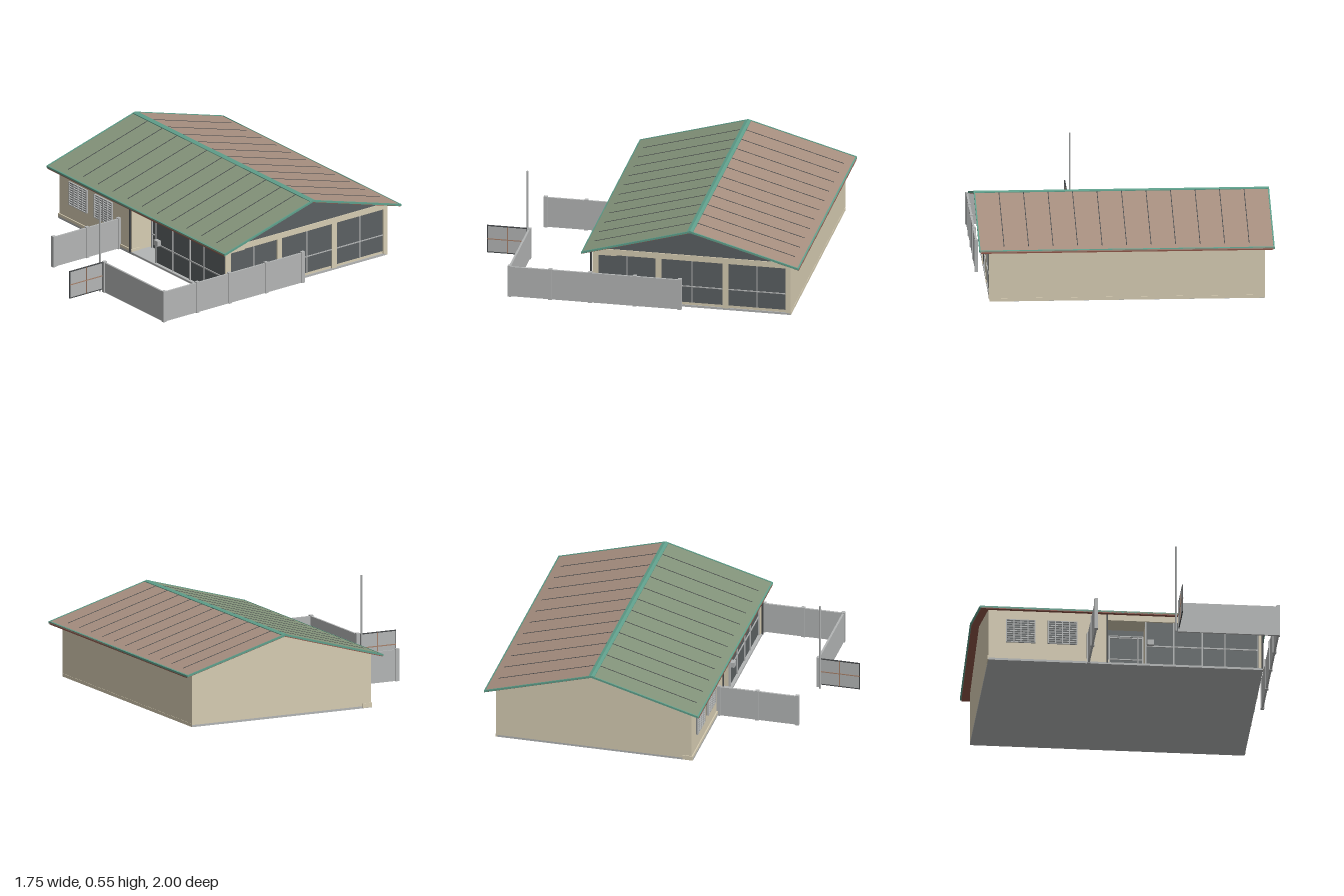
import * as THREE from 'three';

const mat = (name, color, side = THREE.FrontSide) => {
  const m = new THREE.MeshStandardMaterial({ color, side });
  m.name = name;
  return m;
};

export function createModel() {
  const root = new THREE.Group();
  root.name = 'house';
  const wall = mat('cream wall', 0xd6ccb2);
  const glass = mat('dark glass', 0x5b6062);
  const grey = mat('light grey', 0xb3b5b5);
  const green = mat('green roof', 0x83937a);
  const brown = mat('brown roof', 0xa78f80);
  const teal = mat('teal trim', 0x5f9f8b);
  const red = mat('red underside', 0x8f5548);
  const dark = mat('dark metal', 0x45484a);
  const tan = mat('gate bar', 0xa5806a);

  const add = (name, geo, m, parent = root) => {
    const mesh = new THREE.Mesh(geo, m);
    mesh.name = name;
    parent.add(mesh);
    return mesh;
  };
  const group = (name) => {
    const g = new THREE.Group();
    g.name = name;
    root.add(g);
    return g;
  };
  // Box given by its limits on each axis
  const box = (name, x0, x1, y0, y1, z0, z1, m, parent) => {
    const geo = new THREE.BoxGeometry(x1 - x0, y1 - y0, z1 - z0);
    geo.translate((x0 + x1) / 2, (y0 + y1) / 2, (z0 + z1) / 2);
    return add(name, geo, m, parent);
  };
  // Prism running along x from a profile of [z, y] points
  const prism = (name, pts, x0, x1, m, parent) => {
    const shape = new THREE.Shape(pts.map(([z, y]) => new THREE.Vector2(-z, y)));
    const geo = new THREE.ExtrudeGeometry(shape, { depth: x1 - x0, bevelEnabled: false });
    geo.rotateY(Math.PI / 2).translate(x0, 0, 0);
    return add(name, geo, m, parent);
  };

  // Roof heights
  const ridgeZ = -0.345, ridgeY = 0.51, frontZ = 0.31, backZ = -1, eaveY = 0.325;
  const slope = (ridgeY - eaveY) / (frontZ - ridgeZ);
  const roofY = (z) => ridgeY - slope * Math.abs(z - ridgeZ);
  const band = (za, zb, top, bottom) => [
    [za, roofY(za) + top], [zb, roofY(zb) + top], [zb, roofY(zb) + bottom], [za, roofY(za) + bottom],
  ];

  // Walls, with a recessed entrance in the middle
  const wallFront = 0.25, wallBack = -0.94, under = -0.014;
  const profile = (zf) => [
    [zf, 0.012], [zf, roofY(zf) + under], [ridgeZ, ridgeY + under],
    [wallBack, roofY(wallBack) + under], [wallBack, 0.012],
  ];
  const body = group('walls');
  box('floorSlab', -0.82, 0.81, 0, 0.013, -0.94, 0.262, grey, body);
  prism('leftWing', profile(wallFront + 0.005), -0.82, -0.11, wall, body);
  prism('entranceBack', profile(0.11), -0.11, 0.115, wall, body);
  prism('glazedHall', profile(wallFront - 0.01), 0.115, 0.805, wall, body);
  box('backWallFoot', -0.82, 0.81, 0.001, 0.02, -0.942, -0.93, wall, body);
  box('plinth', -0.825, -0.105, 0.003, 0.03, 0.2, 0.262, wall, body);
  box('frontBeam', -0.11, 0.81, 0.29, 0.33, 0.11, 0.255, wall, body);
  box('cornerPost', 0.785, 0.81, 0.012, 0.33, 0.225, 0.255, wall, body);

  // Glazed front of the hall
  const front = group('frontGlazing');
  box('frontGlass', 0.115, 0.785, 0.015, 0.29, 0.238, 0.243, glass, front);
  for (const x of [0.115, 0.28, 0.45, 0.585, 0.782])
    box('mullion', x - 0.004, x + 0.004, 0.013, 0.29, 0.238, 0.25, grey, front);
  box('transom', 0.115, 0.785, 0.131, 0.139, 0.238, 0.248, grey, front);
  box('letterBox', 0.122, 0.162, 0.136, 0.168, 0.24, 0.27, grey, front);

  // Entrance door in the recess
  const door = group('entranceDoor');
  box('doorGlass', -0.105, 0.113, 0.013, 0.29, 0.11, 0.116, glass, door);
  for (const x of [-0.09, 0.08, 0.109])
    box('doorUpright', x - 0.004, x + 0.004, 0.013, 0.25, 0.11, 0.124, grey, door);
  for (const y of [0.1, 0.24, 0.25])
    box('doorRail', -0.09, 0.11, y - 0.003, y + 0.003, 0.11, 0.122, grey, door);

  // Glazed right side and gable
  const side = group('sideGlazing');
  for (const [z0, z1] of [[-0.125, 0.22], [-0.53, -0.16], [-0.91, -0.565]]) {
    const mid = (z0 + z1) / 2;
    box('sideGlass', 0.803, 0.808, 0.03, 0.295, z0, z1, glass, side);
    box('sideMullion', 0.803, 0.812, 0.03, 0.295, mid - 0.003, mid + 0.003, grey, side);
    box('sideTransom', 0.803, 0.812, 0.13, 0.136, z0, z1, grey, side);
  }
  box('sideBeam', 0.8, 0.814, 0.297, 0.332, -0.94, 0.255, wall, side);
  for (const [z0, z1] of [[0.22, 0.25], [-0.16, -0.125], [-0.565, -0.53], [-0.94, -0.91]])
    box('sidePost', 0.8, 0.814, 0.012, 0.3, z0, z1, wall, side);
  const gz = (ridgeY - 0.016 - 0.332) / slope;
  prism('gableGlass', [[ridgeZ + gz, 0.332], [ridgeZ, ridgeY - 0.016], [ridgeZ - gz, 0.332]],
    0.803, 0.808, glass, side);

  // Barred windows on the left wing
  for (const x0 of [-0.715, -0.468]) {
    const win = group('barredWindow'), x1 = x0 + 0.175;
    box('windowPane', x0, x1, 0.12, 0.267, 0.252, 0.258, glass, win);
    for (let i = 0; i <= 10; i++) {
      const y = 0.122 + i * 0.0143;
      box('horizontalBar', x0, x1, y - 0.0025, y + 0.0025, 0.256, 0.266, grey, win);
    }
    for (let i = 0; i <= 4; i++) {
      const x = x0 + 0.003 + i * 0.0423;
      box('verticalBar', x - 0.003, x + 0.003, 0.12, 0.267, 0.256, 0.267, grey, win);
    }
  }

  // Downpipes
  for (const x of [-0.115, 0.805])
    add('downpipe', new THREE.CylinderGeometry(0.006, 0.006, 0.31, 10).translate(x, 0.165, 0.264), dark);

  // Roof slopes, seams and trim
  const roof = group('roof'), rx = 0.87;
  for (const [end, m, label] of [[frontZ, green, 'front'], [backZ, brown, 'back']]) {
    // keep the profile winding the same on both sides
    const strip = (name, za, zb, top, bottom, x0, x1, mm) =>
      prism(label + name, band(za, zb, top, bottom), x0, x1, mm, roof);
    strip('Slope', ridgeZ, end, 0, -0.007, -rx + 0.003, rx - 0.003, m);
    strip('Soffit', ridgeZ, end, -0.007, -0.014, -rx + 0.005, rx - 0.005, red);
    for (const s of [-1, 1])
      strip('RakeTrim', ridgeZ, end, 0.003, -0.009, s * rx - 0.004, s * rx + 0.004, teal);
    const inner = end + Math.sign(ridgeZ - end) * 0.008;
    strip('EaveTrim', inner, end, 0.002, -0.009, -rx, rx, teal);
    const seamEnd = end + Math.sign(ridgeZ - end) * 0.05;
    for (let i = -5; i <= 5; i++)
      strip('Seam', ridgeZ, seamEnd, 0.002, -0.004, i * 0.145 - 0.002, i * 0.145 + 0.002, dark);
  }
  prism('ridgeCap', [
    [ridgeZ - 0.018, roofY(ridgeZ - 0.018) - 0.002], [ridgeZ - 0.018, roofY(ridgeZ - 0.018) + 0.004],
    [ridgeZ, ridgeY + 0.004], [ridgeZ + 0.018, roofY(ridgeZ + 0.018) + 0.004],
    [ridgeZ + 0.018, roofY(ridgeZ + 0.018) - 0.002], [ridgeZ, ridgeY - 0.002],
  ], -rx - 0.002, rx + 0.002, teal, roof);

  // Yard fences
  const fence = group('fence');
  const post = (x, z) => box('fencePost', x - 0.011, x + 0.011, 0, 0.196, z - 0.011, z + 0.011, grey, fence);
  const panel = (x0, x1, z0, z1) => box('fencePanel', x0, x1, 0.002, 0.19, z0, z1, grey, fence);
  panel(0.849, 0.861, -0.285, 0.745);
  panel(0.27, 0.855, 0.739, 0.751);
  panel(-0.231, -0.219, 0.255, 0.745);
  for (const z of [0.745, 0.5, 0.26, -0.01, -0.28]) post(0.855, z);
  for (const z of [0.745, 0.5, 0.265]) post(-0.225, z);
  post(0.272, 0.745);

  // Open gate
  const gate = group('gate');
  box('gatePanel', 0.263, 0.267, 0.022, 0.188, 0.757, 0.998, grey, gate);
  for (const y of [0.021, 0.189]) box('gateRail', 0.262, 0.268, y - 0.003, y + 0.003, 0.755, 1, dark, gate);
  for (const z of [0.758, 0.997]) box('gateStile', 0.262, 0.268, 0.02, 0.19, z - 0.003, z + 0.003, dark, gate);
  box('gateCrossBar', 0.261, 0.269, 0.102, 0.108, 0.758, 0.997, tan, gate);
  box('gateUpright', 0.261, 0.269, 0.022, 0.188, 0.872, 0.878, tan, gate);

  // Flag pole
  add('pole', new THREE.CylinderGeometry(0.005, 0.005, 0.55, 12).translate(0.247, 0.275, 0.76), grey);

  return root;
}
